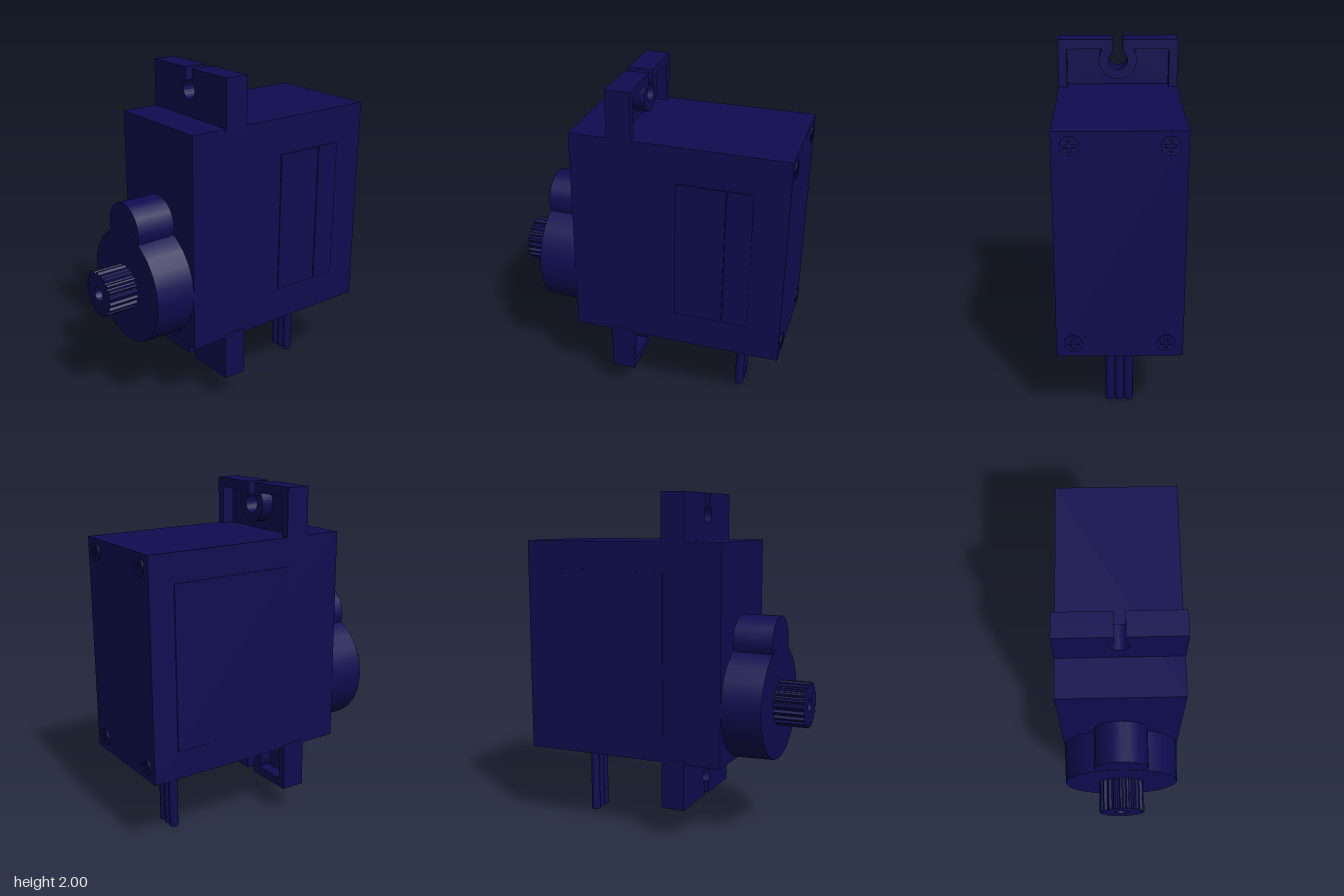
import * as THREE from 'three';

const navy = new THREE.MeshStandardMaterial({ color: 0x0e0c50 });
navy.name = 'navy plastic';

export function createModel() {
  const model = new THREE.Group();
  model.name = 'servoMotor';

  const add = (name, geometry, x = 0, y = 0, z = 0, parent = model) => {
    const mesh = new THREE.Mesh(geometry, navy);
    mesh.name = name;
    mesh.position.set(x, y, z);
    parent.add(mesh);
    return mesh;
  };
  const box = (name, x0, x1, y0, y1, z0, z1) =>
    add(name, new THREE.BoxGeometry(x1 - x0, y1 - y0, z1 - z0), (x0 + x1) / 2, (y0 + y1) / 2, (z0 + z1) / 2);
  // Extrudes a shape drawn in the side plane towards +x
  const extrudeX = (shape, depth, curveSegments = 10) =>
    new THREE.ExtrudeGeometry(shape, { depth, bevelEnabled: false, curveSegments }).rotateY(Math.PI / 2);

  // Main case
  box('case', -0.42, 0.828, 0.455, 1.725, -0.343, 0.343);

  // Thin label plates on both broad sides
  box('frontLabelWide', 0.2, 0.482, 0.66, 1.51, 0.342, 0.35);
  box('frontLabelNarrow', 0.488, 0.635, 0.66, 1.51, 0.342, 0.35);
  box('backLabel', -0.065, 0.68, 0.62, 1.56, -0.349, -0.342);

  // Mounting ear: slotted plate, with a rim and a boss around the screw hole
  const holeY = 0.155, slot = 0.03, holeR = 0.055, bossR = 0.11, rimY = 0.22;
  const earOutline = () => {
    const s = new THREE.Shape();
    const a = Math.acos(slot / holeR);
    s.moveTo(-0.345, -0.02);
    s.lineTo(0.345, -0.02);
    s.lineTo(0.345, 0.275);
    s.lineTo(slot, 0.275);
    s.absarc(0, holeY, holeR, a, -Math.PI - a, true);
    s.lineTo(-slot, 0.275);
    s.lineTo(-0.345, 0.275);
    s.closePath();
    return s;
  };
  const recess = new THREE.Path();
  const b = Math.asin((rimY - holeY) / bossR);
  recess.moveTo(-0.295, 0);
  recess.lineTo(0.295, 0);
  recess.lineTo(0.295, rimY);
  recess.absarc(0, holeY, bossR, b, -Math.PI - b, true);
  recess.lineTo(-0.295, rimY);
  recess.closePath();
  const rimShape = earOutline();
  rimShape.holes.push(recess);
  for (const [name, y, turn] of [['upperEar', 1.725, 0], ['lowerEar', 0.455, Math.PI]]) {
    const ear = new THREE.Group();
    ear.name = name;
    ear.position.set(-0.197, y, 0);
    ear.rotation.x = turn;
    add('earPlate', extrudeX(earOutline(), 0.07), 0, 0, 0, ear);
    add('earRim', extrudeX(rimShape, 0.072, 16), 0.07, 0, 0, ear);
    model.add(ear);
  }

  // Gear housing: large round tower with a smaller lobe above
  const tower = new THREE.CylinderGeometry(0.336, 0.343, 0.236, 24).rotateZ(Math.PI / 2);
  add('gearTower', tower, -0.538, 0.797, 0);
  const lobe = new THREE.CylinderGeometry(0.155, 0.155, 0.234, 20).rotateZ(Math.PI / 2);
  add('gearLobe', lobe, -0.537, 1.15, 0);

  // Splined output shaft with a central screw hole
  const spline = new THREE.Shape();
  const teeth = 21;
  for (let i = 0; i < teeth * 4; i++) {
    const angle = (i / (teeth * 4)) * Math.PI * 2;
    const r = i % 4 < 2 ? 0.134 : 0.12;
    spline[i ? 'lineTo' : 'moveTo'](r * Math.cos(angle), r * Math.sin(angle));
  }
  spline.closePath();
  spline.holes.push(new THREE.Path().absarc(0, 0, 0.042, 0, Math.PI * 2, true));
  add('outputShaft', extrudeX(spline, 0.182), -0.836, 0.797, 0);

  // Cross-head screws in the corners of the end cover
  const head = new THREE.Shape().absarc(0, 0, 0.05, 0, Math.PI * 2, false);
  const w = 0.008, l = 0.032;
  const cross = [[w, w], [w, l], [-w, l], [-w, w], [-l, w], [-l, -w],
    [-w, -w], [-w, -l], [w, -l], [w, -w], [l, -w], [l, w]];
  head.holes.push(new THREE.Path(cross.map(([x, y]) => new THREE.Vector2(x, y)).reverse()));
  const screw = extrudeX(head, 0.008);
  for (const y of [0.535, 1.65])
    for (const z of [-0.25, 0.25]) add('screwHead', screw, 0.827, y, z);

  // Three-strand ribbon cable
  const wire = new THREE.CylinderGeometry(0.027, 0.027, 0.47, 12);
  for (const z of [-0.054, 0, 0.054]) add('wire', wire, 0.553, 0.235, z);

  return model;
}
